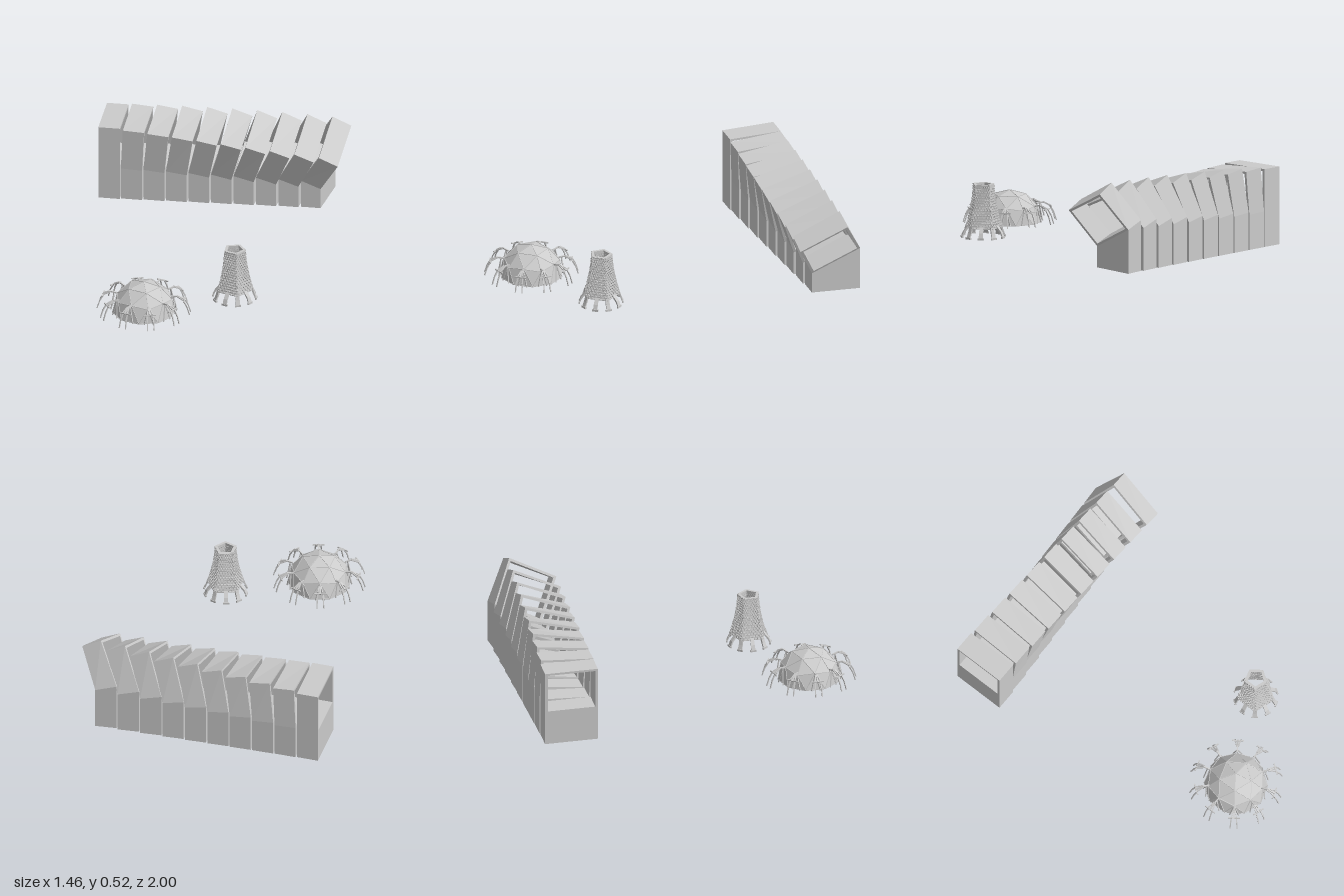
import * as THREE from 'three';
import { mergeGeometries } from 'three/addons/utils/BufferGeometryUtils.js';
import { ConvexGeometry } from 'three/addons/geometries/ConvexGeometry.js';

const grey = new THREE.MeshStandardMaterial({ color: 0xcccccc, flatShading: true });
const greyThin = new THREE.MeshStandardMaterial({ color: 0xcccccc, flatShading: true, side: THREE.DoubleSide });
const V = (x, y, z) => new THREE.Vector3(x, y, z);
const polar = (r, a, y) => V(r * Math.cos(a), y, r * Math.sin(a));
const STEP = Math.PI / 5;

function mesh(name, geometry, material = grey) {
  const m = new THREE.Mesh(geometry, material);
  m.name = name;
  return m;
}

// Box whose eight corners are given by corner(i, j, k), each index 0 or 1
function hexahedron(corner) {
  const g = new THREE.BoxGeometry(1, 1, 1);
  const p = g.attributes.position;
  for (let n = 0; n < p.count; n++) {
    const c = corner(+(p.getX(n) > 0), +(p.getY(n) > 0), +(p.getZ(n) > 0));
    p.setXYZ(n, c.x, c.y, c.z);
  }
  g.computeVertexNormals();
  return g;
}

// Straight bar between two points; width lies level, depth across it
function bar(a, b, width, depth = width) {
  const g = new THREE.BoxGeometry(width, depth, a.distanceTo(b));
  const m = new THREE.Matrix4().lookAt(b, a, Math.abs(b.y - a.y) > 0.999 * a.distanceTo(b) ? V(1, 0, 0) : V(0, 1, 0));
  m.setPosition(a.clone().lerp(b, 0.5));
  return g.applyMatrix4(m);
}

// Row of ten bays: a solid plinth carrying an open tube that twists bay by bay
function createGallery() {
  const gallery = new THREE.Group();
  gallery.name = 'twistingGallery';
  const mix = THREE.MathUtils.lerp;
  for (let i = 0; i < 10; i++) {
    const t = i / 9, s = Math.sin(t * Math.PI / 2), x = -0.73 + 0.1317 * i;
    // Corner order: lower front, lower rear, upper rear, upper front
    const left = [
      V(x, mix(0.2, 0.17, t), mix(-0.64, -0.715, t)),
      V(x + 0.03 * t, mix(0.2, 0.3, t), mix(-0.955, -0.985, t)),
      V(x + 0.16 * t, mix(0.46, 0.525, s), mix(-0.955, -0.87, t)),
      V(x + 0.125 * t, mix(0.46, 0.39, t), mix(-0.64, -0.595, t)),
    ];
    const right = [
      V(x + mix(0.127, 0.115, t), mix(0.2, 0.125, t), mix(-0.64, -0.715, t)),
      V(x + mix(0.127, 0.155, t), mix(0.2, 0.26, t), mix(-0.955, -1.0, t)),
      V(x + mix(0.127, 0.27, t), mix(0.46, 0.47, s), mix(-0.955, -0.88, t)),
      V(x + mix(0.127, 0.235, t), mix(0.46, 0.34, t), mix(-0.64, -0.6, t)),
    ];
    const outer = [left, right];
    const inner = outer.map((ring) => {
      const c = ring.reduce((sum, p) => sum.add(p), V(0, 0, 0)).multiplyScalar(0.25);
      return ring.map((p) => p.clone().lerp(c, 0.1));
    });
    const plinth = hexahedron((a, b, c) => {
      const p = outer[a][c ? 0 : 1].clone();
      if (!b) p.y = 0;
      return p;
    });
    const walls = [0, 1, 2, 3].map((k) =>
      hexahedron((a, b, c) => (b ? outer : inner)[a][(k + c) % 4]));
    const bay = new THREE.Group();
    bay.name = 'bay';
    bay.add(mesh('plinth', plinth), mesh('twistedFrame', mergeGeometries(walls)));
    gallery.add(bay);
  }
  return gallery;
}

// Faceted half sphere with ribs and ten jointed, two-footed legs
function createDome() {
  const dome = new THREE.Group();
  dome.name = 'dome';
  dome.position.set(-0.235, 0, 0.73);
  const R = 0.186, points = [V(0, R, 0)];
  const ring = (tilt, count, start) => {
    const th = THREE.MathUtils.degToRad(tilt);
    for (let i = 0; i < count; i++) {
      points.push(polar(R * Math.sin(th), start + i * 2 * Math.PI / count, R * Math.cos(th)));
    }
  };
  ring(31.72, 5, 0);
  ring(63.43, 5, 0);
  ring(58.28, 5, STEP);
  ring(90, 10, STEP / 2);
  const shell = new ConvexGeometry(points);
  dome.add(mesh('shell', shell));

  const e = new THREE.EdgesGeometry(shell, 2).attributes.position;
  const ribs = [];
  for (let i = 0; i < e.count; i += 2) {
    ribs.push(bar(V(0, 0, 0).fromBufferAttribute(e, i), V(0, 0, 0).fromBufferAttribute(e, i + 1), 0.003));
  }
  const ribMesh = mesh('ribs', mergeGeometries(ribs));
  ribMesh.position.y = 0.0015;
  dome.add(ribMesh);

  const leg = [bar(V(0.16, 0.1, 0), V(0.2, 0.108, 0), 0.008),
    bar(V(0.2, 0.108, 0), V(0.245, 0.085, 0), 0.008),
    bar(V(0.24, 0.086, -0.035), V(0.24, 0.086, 0.035), 0.007)];
  for (const s of [-1, 1]) {
    leg.push(bar(V(0.195, 0.108, s * 0.005), V(0.235, 0.09, s * 0.014), 0.006));
    leg.push(bar(V(0.235, 0.09, s * 0.014), V(0.258, 0.05, s * 0.018), 0.007));
    leg.push(bar(V(0.258, 0.05, s * 0.018), V(0.273, 0.002, s * 0.02), 0.006));
    // Inner braces resting against the shell
    leg.push(bar(V(0.175, 0.105, 0), V(0.19, 0.002, s * 0.026), 0.006));
  }
  const legGeometry = mergeGeometries(leg);
  for (let i = 0; i < 10; i++) {
    const m = mesh('leg', legGeometry);
    m.rotation.y = i * STEP;
    dome.add(m);
  }
  return dome;
}

// Hollow five-sided tower with a ribbed, studded skin and ten splayed feet
function createTower() {
  const tower = new THREE.Group();
  tower.name = 'tower';
  tower.position.set(0.26, 0, 0.48);
  const y0 = 0.06, y1 = 0.31, rows = 17;
  const radius = (v) => 0.064 + 0.046 * Math.pow(1 - v, 1.7);
  const profile = [];
  for (let i = 0; i <= rows; i++) {
    const v = i / rows;
    profile.push(new THREE.Vector2(radius(v) - 0.004, y0 + v * (y1 - y0)));
  }
  tower.add(mesh('skin', new THREE.LatheGeometry(profile, 5, Math.PI / 2), greyThin));

  const bands = [], studs = [];
  for (let i = 0; i <= rows; i++) {
    const v = i / rows, y = y0 + v * (y1 - y0), r = radius(v);
    const next = Math.min(1, v + 0.6 / rows);
    for (let k = 0; k < 5; k++) {
      const a = polar(r, 2 * k * STEP, y), b = polar(r, 2 * (k + 1) * STEP, y);
      bands.push(bar(a, b, 0.008, 0.005));
      const a2 = polar(radius(next), 2 * k * STEP, y + 0.009);
      const b2 = polar(radius(next), 2 * (k + 1) * STEP, y + 0.009);
      for (let n = 0; n < 6 && i < rows; n++) {
        const u = (n + (i % 2 ? 0.75 : 0.25)) / 6;
        studs.push(bar(a.clone().lerp(b, u), a2.clone().lerp(b2, u), 0.007, 0.009));
      }
    }
  }
  tower.add(mesh('bands', mergeGeometries(bands)), mesh('studs', mergeGeometries(studs)));

  // Inner lip around the open top
  const lip = [0, 1, 2, 3, 4].map((k) =>
    bar(polar(0.058, 2 * k * STEP, 0.308), polar(0.058, 2 * (k + 1) * STEP, 0.308), 0.014, 0.012));
  tower.add(mesh('topLip', mergeGeometries(lip)));

  for (let i = 0; i < 10; i++) {
    const r = i % 2 ? 0.086 : 0.104;
    const foot = mergeGeometries([
      bar(V(r, 0.068, 0), V(0.114, 0.035, 0), 0.022, 0.01),
      bar(V(0.114, 0.037, 0), V(0.128, 0.003, 0), 0.024, 0.008),
      bar(V(0.127, 0.006, -0.018), V(0.127, 0.006, 0.018), 0.009, 0.012),
    ]);
    const m = mesh('foot', foot);
    m.rotation.y = i * STEP;
    tower.add(m);
  }
  return tower;
}

export function createModel() {
  const model = new THREE.Group();
  model.name = 'pavilions';
  model.add(createGallery(), createDome(), createTower());
  return model;
}
